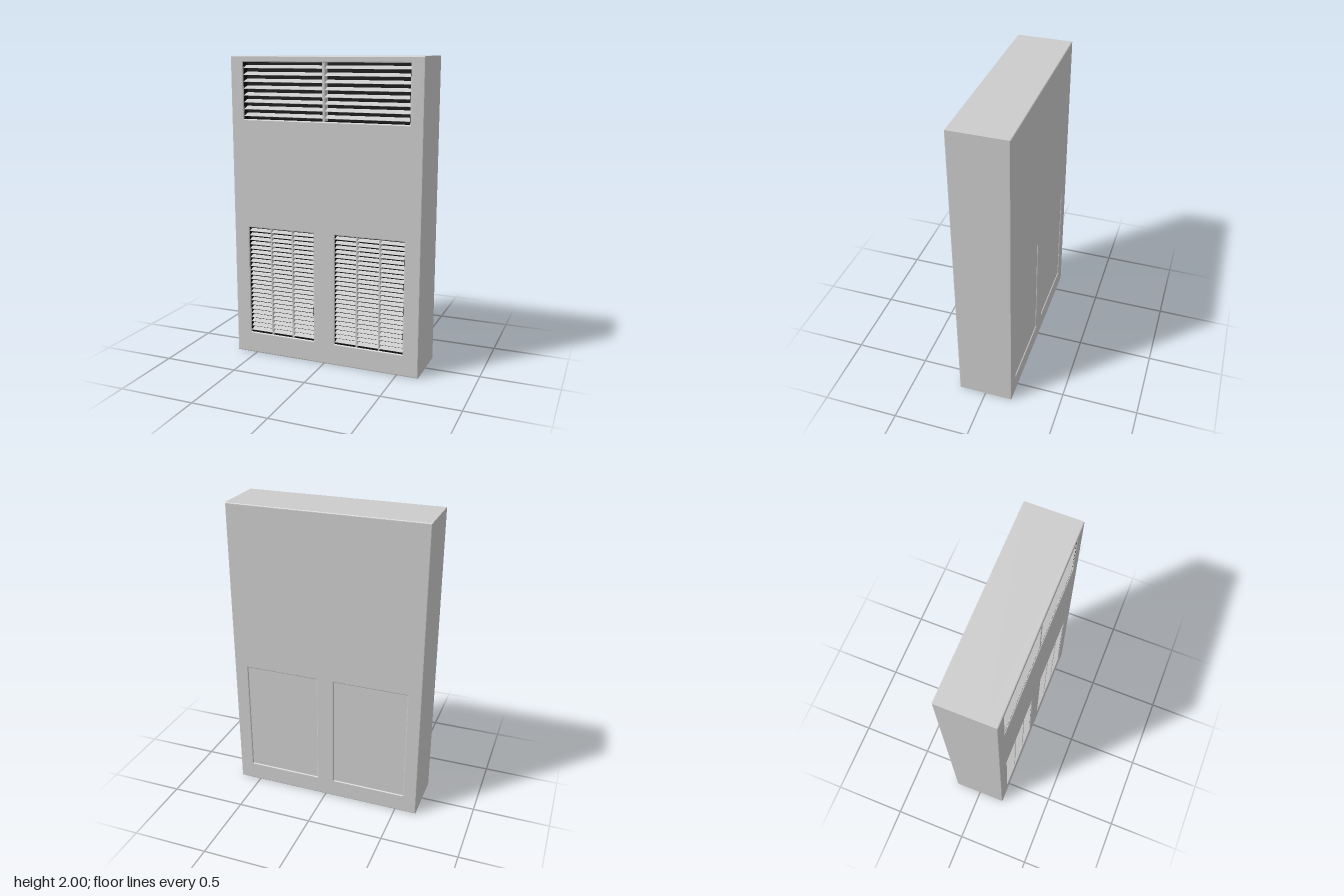
import * as THREE from 'three';

const W = 1.287, H = 2, BACK = -0.184, FRONT = 0.182, RECESS = 0.12, EDGE = 0.007;
const BACK_RECESS = 0.008;

const grey = new THREE.MeshStandardMaterial({ color: 0xcccccc });
const dark = new THREE.MeshStandardMaterial({ color: 0x0a0a0a, side: THREE.DoubleSide });

// Vent openings: bounds, slat count, slat depth and tilt, upright divider positions
const lower = { y0: 0.145, y1: 0.88, slats: 24, depth: 0.036, tilt: 0.37, barWidth: 0.009 };
const vents = [
  { name: 'upperVent', x0: -0.557, x1: 0.557, y0: 1.598, y1: 1.959,
    slats: 8, depth: 0.05, tilt: 0.38, barWidth: 0.016, bars: [0] },
  { name: 'lowerRightVent', x0: -0.538, x1: -0.074, ...lower, bars: [-0.378, -0.225] },
  { name: 'lowerLeftVent', x0: 0.074, x1: 0.538, ...lower, bars: [0.225, 0.378] },
];

// Shallow sunken fields on the back
const backFields = [
  { x0: -0.55, x1: -0.06, y0: 0.125, y1: 0.89 },
  { x0: 0.06, x1: 0.55, y0: 0.125, y1: 0.89 },
];

function add(parent, name, geometry, material, x, y, z) {
  const mesh = new THREE.Mesh(geometry, material);
  mesh.name = name;
  mesh.position.set(x, y, z);
  parent.add(mesh);
  return mesh;
}

function rectangle(target, x0, y0, x1, y1) {
  target.moveTo(x0, y0);
  target.lineTo(x1, y0);
  target.lineTo(x1, y1);
  target.lineTo(x0, y1);
  target.closePath();
  return target;
}

// Panel of the full cabinet size with openings cut through and soft edges
function panelGeometry(openings, z0, z1) {
  const shape = rectangle(new THREE.Shape(), -W / 2, 0, W / 2, H);
  for (const o of openings) shape.holes.push(rectangle(new THREE.Path(), o.x0, o.y0, o.x1, o.y1));
  const geometry = new THREE.ExtrudeGeometry(shape, {
    depth: z1 - z0 - 2 * EDGE,
    bevelThickness: EDGE, bevelSize: EDGE, bevelOffset: -EDGE, bevelSegments: 3,
  });
  return geometry.translate(0, 0, z0 + EDGE);
}

function makeVent(v) {
  const group = new THREE.Group();
  group.name = v.name;
  const w = v.x1 - v.x0, h = v.y1 - v.y0;
  const cx = (v.x0 + v.x1) / 2, cy = (v.y0 + v.y1) / 2;

  // Dark lining: rear wall, then side, top and bottom walls facing inwards
  const gap = 0.001;
  const wallDepth = FRONT - EDGE - RECESS - gap;
  const wallZ = RECESS + gap + wallDepth / 2;
  const sideWall = new THREE.PlaneGeometry(wallDepth, h);
  const flatWall = new THREE.PlaneGeometry(w, wallDepth);
  add(group, 'rearLining', new THREE.PlaneGeometry(w, h), dark, cx, cy, RECESS + gap);
  for (const s of [-1, 1]) {
    add(group, 'sideLining', sideWall, dark, cx + s * (w / 2 - gap), cy, wallZ)
      .rotation.y = -s * Math.PI / 2;
    add(group, s > 0 ? 'topLining' : 'bottomLining', flatWall, dark, cx, cy + s * (h / 2 - gap), wallZ)
      .rotation.x = s * Math.PI / 2;
  }

  // Slats sloping down towards the front
  const pitch = h / (v.slats + 0.3);
  const slat = new THREE.BoxGeometry(w - 0.004, 0.002, v.depth);
  const slatZ = FRONT - 0.006 - v.depth * Math.cos(v.tilt) / 2;
  for (let i = 0; i < v.slats; i++) {
    add(group, 'slat', slat, grey, cx, v.y1 - (i + 0.63) * pitch, slatZ).rotation.x = v.tilt;
  }

  // Upright dividers, level with the front edges of the slats
  const barDepth = v.depth;
  const bar = new THREE.BoxGeometry(v.barWidth, h, barDepth);
  for (const x of v.bars) add(group, 'divider', bar, grey, x, cy, FRONT - 0.005 - barDepth / 2);
  return group;
}

export function createModel() {
  const model = new THREE.Group();
  model.name = 'ventedCabinet';

  // Cabinet body between the front and back panels
  const bodyBack = BACK + BACK_RECESS;
  const depth = RECESS - bodyBack;
  add(model, 'cabinetBody', new THREE.BoxGeometry(W, H, depth), grey, 0, H / 2, bodyBack + depth / 2);
  add(model, 'frontPanel', panelGeometry(vents, RECESS - 0.03, FRONT), grey, 0, 0, 0);
  add(model, 'backPanel', panelGeometry(backFields, BACK, BACK + 0.04), grey, 0, 0, 0);

  for (const v of vents) model.add(makeVent(v));
  return model;
}
